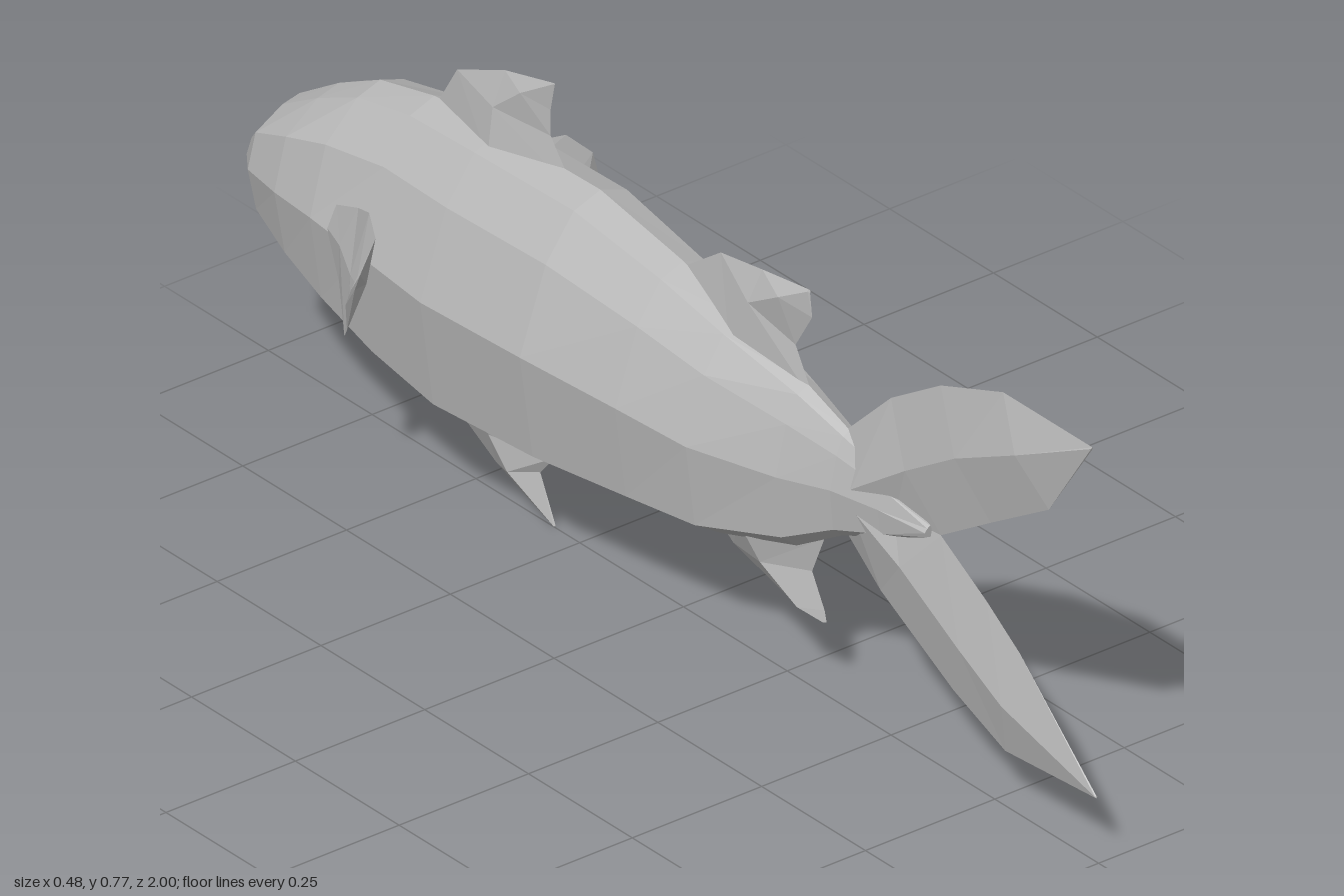
import * as THREE from 'three';

const skin = new THREE.MeshStandardMaterial({ color: 0xb8b8b8, flatShading: true });
skin.name = 'grey skin';

// Closed faceted solid through rings of equal point count, capped at both ends
function loft(name, rings) {
  const n = rings[0].length, pos = [];
  let volume = 0;
  const cross = new THREE.Vector3();
  const tris = [];
  const tri = (a, b, c) => {
    tris.push([a, b, c]);
    volume += a.dot(cross.crossVectors(b, c));
  };
  for (let i = 0; i < rings.length - 1; i++) {
    for (let j = 0; j < n; j++) {
      const k = (j + 1) % n, p = rings[i], q = rings[i + 1];
      tri(p[j], p[k], q[k]);
      tri(p[j], q[k], q[j]);
    }
  }
  const cap = (ring, flip) => {
    const c = new THREE.Vector3();
    ring.forEach(p => c.addScaledVector(p, 1 / n));
    for (let j = 0; j < n; j++) {
      const a = ring[j], b = ring[(j + 1) % n];
      if (flip) tri(c, b, a); else tri(c, a, b);
    }
  };
  cap(rings[0], true);
  cap(rings[rings.length - 1], false);
  // Keep all faces pointing outwards
  for (const [a, b, c] of tris) {
    for (const p of volume > 0 ? [a, b, c] : [a, c, b]) pos.push(p.x, p.y, p.z);
  }
  const geo = new THREE.BufferGeometry();
  geo.setAttribute('position', new THREE.Float32BufferAttribute(pos, 3));
  geo.computeVertexNormals();
  const mesh = new THREE.Mesh(geo, skin);
  mesh.name = name;
  return mesh;
}

// Twelve-sided body section; shoulder is the width fraction of the upper side
function section([z, top, bottom, w, shoulder = 0.68]) {
  const h = top - bottom;
  const half = [[0, 1], [0.33, 0.96], [shoulder, 0.8], [1, 0.49], [0.84, 0.1], [0.35, 0.01], [0, 0]];
  const left = half.slice(1, 6).reverse().map(([x, y]) => [-x, y]);
  return [...half, ...left].map(([x, y]) => new THREE.Vector3(x * w, bottom + y * h, z));
}

// Diamond section between two edge points, thickened along a normal
function diamond(a, b, t, normal) {
  const m = a.clone().add(b).multiplyScalar(0.5);
  return [a, m.clone().addScaledVector(normal, t), b, m.clone().addScaledVector(normal, -t)];
}

// Upright fin on the centre line: rows of [zA, yA, zB, yB, half thickness]
function midFin(name, rows) {
  const side = new THREE.Vector3(1, 0, 0);
  return loft(name, rows.map(([za, ya, zb, yb, t]) =>
    diamond(new THREE.Vector3(0, ya, za), new THREE.Vector3(0, yb, zb), t, side)));
}

export function createModel() {
  const fish = new THREE.Group();
  fish.name = 'fish';

  // Body from nose to tail root: z, top, bottom, half width, shoulder
  fish.add(loft('body', [
    [-1.0, 0.37, 0.345, 0.02, 0.8],
    [-0.975, 0.415, 0.335, 0.062, 0.85],
    [-0.925, 0.48, 0.29, 0.1, 0.85],
    [-0.83, 0.54, 0.255, 0.125, 0.82],
    [-0.73, 0.59, 0.215, 0.136, 0.78],
    [-0.6, 0.62, 0.175, 0.144],
    [-0.44, 0.63, 0.155, 0.156],
    [-0.2, 0.635, 0.172, 0.156],
    [0.0, 0.6, 0.19, 0.132],
    [0.14, 0.563, 0.2, 0.108],
    [0.3, 0.52, 0.245, 0.062],
    [0.4, 0.485, 0.305, 0.038],
    [0.5, 0.455, 0.345, 0.025],
    [0.6, 0.41, 0.39, 0.015],
  ].map(section)));

  // Short lower lip under the mouth
  fish.add(loft('lowerJaw', [
    [-0.86, 0.34, 0.27, 0.09],
    [-0.92, 0.33, 0.283, 0.065],
    [-0.965, 0.315, 0.3, 0.03],
  ].map(section)));

  // Forked tail
  fish.add(midFin('upperTailLobe', [
    [0.38, 0.47, 0.5, 0.35, 0.03],
    [0.5, 0.585, 0.62, 0.4, 0.022],
    [0.62, 0.66, 0.74, 0.475, 0.022],
    [0.77, 0.715, 0.88, 0.56, 0.022],
    [0.985, 0.715, 0.984, 0.71, 0.002],
  ]));
  fish.add(midFin('lowerTailLobe', [
    [0.38, 0.315, 0.5, 0.44, 0.03],
    [0.475, 0.24, 0.62, 0.4, 0.022],
    [0.65, 0.145, 0.73, 0.335, 0.022],
    [0.775, 0.095, 0.81, 0.28, 0.022],
    [0.995, 0.11, 0.994, 0.115, 0.002],
  ]));

  // Fins along the back
  fish.add(midFin('frontDorsalFin', [
    [-0.6, 0.6, -0.26, 0.6, 0.034],
    [-0.545, 0.69, -0.32, 0.675, 0.022],
    [-0.43, 0.74, -0.32, 0.72, 0.015],
    [-0.312, 0.77, -0.31, 0.768, 0.001],
  ]));
  fish.add(midFin('rearDorsalFin', [
    [-0.03, 0.57, 0.32, 0.49, 0.028],
    [0.09, 0.655, 0.27, 0.575, 0.02],
    [0.19, 0.67, 0.31, 0.64, 0.018],
    [0.3, 0.685, 0.305, 0.68, 0.003],
  ]));

  // Fins along the belly
  fish.add(midFin('bellyFin', [
    [-0.64, 0.19, -0.25, 0.18, 0.055],
    [-0.56, 0.11, -0.31, 0.12, 0.028],
    [-0.45, 0.05, -0.345, 0.08, 0.022],
    [-0.312, 0.0, -0.308, 0.004, 0.002],
  ]));
  fish.add(midFin('analFin', [
    [0.04, 0.22, 0.34, 0.27, 0.045],
    [0.12, 0.165, 0.31, 0.2, 0.025],
    [0.25, 0.13, 0.34, 0.145, 0.018],
    [0.335, 0.124, 0.345, 0.126, 0.003],
  ]));

  // Swept side fins, mirrored: upper edge point, lower edge point, half thickness
  for (const s of [1, -1]) {
    const normal = new THREE.Vector3(0.86 * s, 0, -0.5);
    const rows = [
      [0.125, 0.44, -0.68, 0.125, 0.36, -0.69, 0.012],
      [0.155, 0.485, -0.59, 0.16, 0.34, -0.63, 0.014],
      [0.19, 0.52, -0.52, 0.21, 0.297, -0.555, 0.01],
      [0.21, 0.5, -0.48, 0.225, 0.325, -0.53, 0.008],
      [0.232, 0.44, -0.49, 0.24, 0.38, -0.515, 0.003],
    ];
    fish.add(loft(s > 0 ? 'leftSideFin' : 'rightSideFin', rows.map(([ax, ay, az, bx, by, bz, t]) =>
      diamond(new THREE.Vector3(ax * s, ay, az), new THREE.Vector3(bx * s, by, bz), t, normal))));
  }

  return fish;
}
